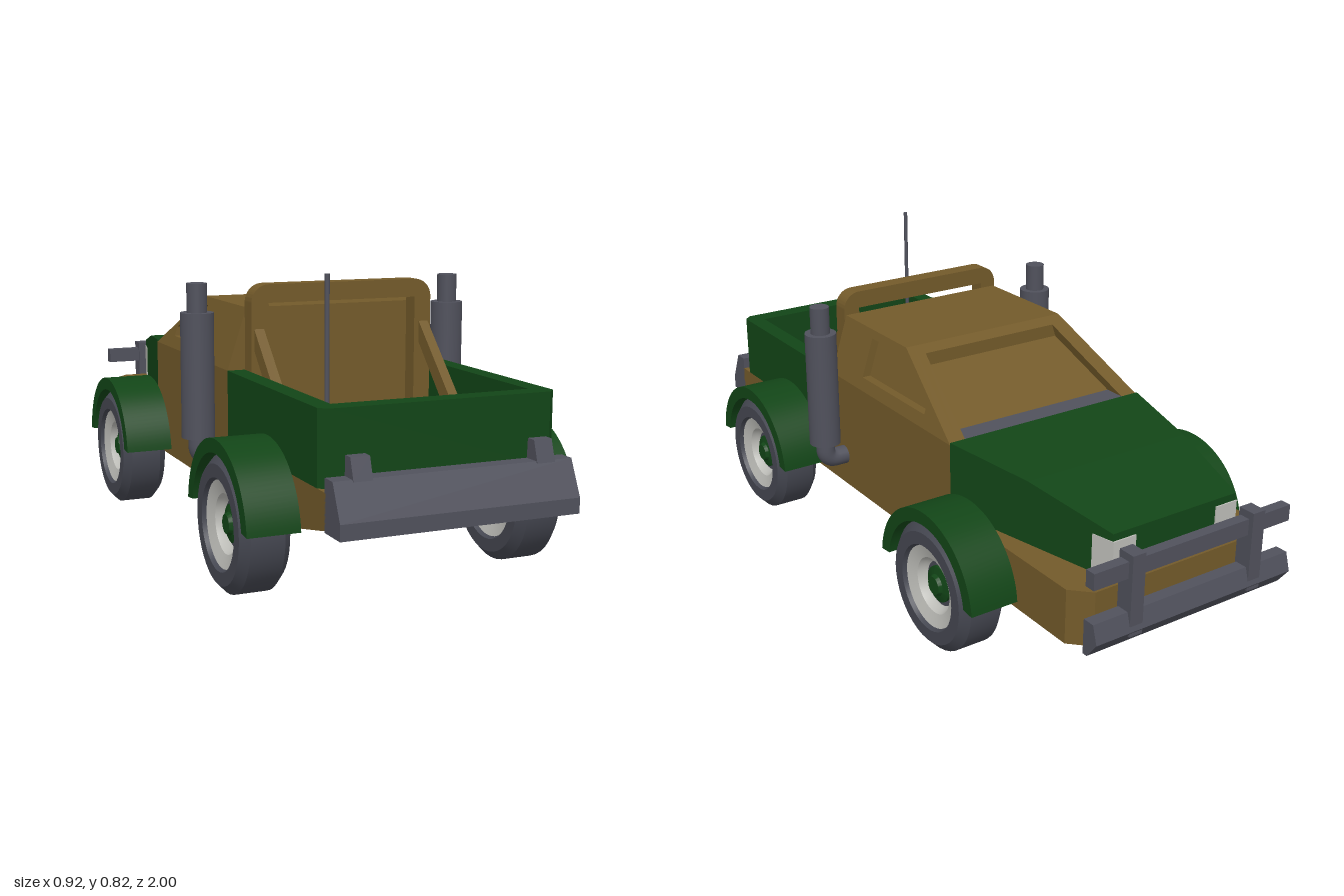
import * as THREE from 'three';
import { toCreasedNormals } from 'three/addons/utils/BufferGeometryUtils.js';

const mat = (color) => new THREE.MeshStandardMaterial({ color });
const shapeOf = (pts) => new THREE.Shape(pts.map(([a, b]) => new THREE.Vector2(a, b)));

// Side outline of [z, y] points, extruded across x
function sideExtrude(pts, x0, x1, hole) {
  const shape = shapeOf(pts);
  if (hole) shape.holes.push(shapeOf(hole));
  const g = new THREE.ExtrudeGeometry(shape, { depth: x1 - x0, bevelEnabled: false });
  return g.rotateY(-Math.PI / 2).translate(x1, 0, 0);
}

// Plan outline of [x, z] points, extruded up y
function planExtrude(pts, y0, y1) {
  const g = new THREE.ExtrudeGeometry(shapeOf(pts), { depth: y1 - y0, bevelEnabled: false });
  return g.rotateX(Math.PI / 2).translate(0, y1, 0);
}

// Box given by its limits
function box(x0, x1, y0, y1, z0, z1) {
  return new THREE.BoxGeometry(x1 - x0, y1 - y0, z1 - z0)
    .translate((x0 + x1) / 2, (y0 + y1) / 2, (z0 + z1) / 2);
}

// Replace each vertex's x by rule(x, y, z)
function moveX(g, rule) {
  const p = g.attributes.position;
  for (let i = 0; i < p.count; i++) p.setX(i, rule(p.getX(i), p.getY(i), p.getZ(i)));
  g.computeVertexNormals();
  return g;
}
const leanIn = (x, y) => x - Math.sign(x) * (y - 0.52) * 0.324;
const hoodTaper = (x, y, z) => x * (1 - (-0.375 - z) * 0.7);

// Lathe around the x axis from [radius, x] points
function axle(pts) {
  const g = new THREE.LatheGeometry(pts.map(([r, x]) => new THREE.Vector2(r, x)), 40);
  return toCreasedNormals(g.rotateZ(-Math.PI / 2), 0.5);
}

export function createModel() {
  const model = new THREE.Group();
  const tan = mat(0x735a2a), green = mat(0x124517), steel = mat(0x50515c);
  const pale = mat(0xbdbdb8), rubber = mat(0x454751);
  const add = (name, geometry, material, parent = model) => {
    const m = new THREE.Mesh(geometry, material);
    m.name = name;
    parent.add(m);
    return m;
  };

  // Chassis with chamfered nose and rising tail
  add('chassis', planExtrude([[-0.32, 0.64], [0.32, 0.64], [0.32, -0.88], [0.27, -0.93],
    [-0.27, -0.93], [-0.32, -0.88]], 0.18, 0.33), tan);
  add('chassisTail', sideExtrude([[0.64, 0.18], [0.92, 0.24], [0.92, 0.33], [0.64, 0.33]], -0.32, 0.32), tan);

  // Cab: lower block, leaning upper core with recessed windscreen, side panels
  add('cabLower', box(-0.32, 0.32, 0.33, 0.52, -0.375, 0.27), tan);
  add('cabCore', moveX(sideExtrude([[0.27, 0.52], [0.27, 0.69], [-0.07, 0.69], [-0.1, 0.673],
    [-0.1, 0.636], [-0.31, 0.522], [-0.31, 0.52]], -0.27, 0.27), leanIn), tan);
  add('windscreenSill', box(-0.27, 0.27, 0.515, 0.524, -0.374, -0.305), steel);
  const cabSide = [[0.27, 0.52], [0.27, 0.69], [-0.07, 0.69], [-0.375, 0.52]];
  const windowHole = [[0.105, 0.555], [0.105, 0.667], [-0.07, 0.667], [-0.23, 0.583], [-0.23, 0.555]];
  for (const s of [1, -1]) {
    const layer = (a, b, hole) =>
      moveX(sideExtrude(cabSide, Math.min(s * a, s * b), Math.max(s * a, s * b), hole), leanIn);
    add('cabSideOuter', layer(0.295, 0.32, windowHole), tan);
    add('cabSideInner', layer(0.27, 0.295), tan);
  }

  // Hood narrowing to the nose, with corner headlights
  add('hood', moveX(sideExtrude([[-0.375, 0.33], [-0.375, 0.527], [-0.64, 0.505], [-0.905, 0.455],
    [-0.905, 0.33]], -0.32, 0.32), hoodTaper), green);
  for (const s of [1, -1]) {
    const [a, b] = s > 0 ? [0.21, 0.323] : [-0.323, -0.21];
    add('headlight', moveX(sideExtrude([[-0.845, 0.335], [-0.845, 0.435], [-0.909, 0.435],
      [-0.909, 0.335]], a, b), hoodTaper), pale);
  }

  // Cargo bed walls
  add('bedWalls', planExtrude([[-0.32, 0.27], [-0.32, 0.87], [-0.3, 0.89], [0.3, 0.89], [0.32, 0.87],
    [0.32, 0.27], [0.27, 0.27], [0.27, 0.835], [-0.27, 0.835], [-0.27, 0.27]], 0.33, 0.52), green);

  // Roll bar with rounded shoulders and sloping struts
  const bar = new THREE.Shape();
  bar.moveTo(-0.27, 0.33);
  bar.lineTo(-0.27, 0.705);
  bar.absarc(-0.22, 0.705, 0.05, Math.PI, Math.PI / 2, true);
  bar.absarc(0.22, 0.705, 0.05, Math.PI / 2, 0, true);
  for (const [x, y] of [[0.27, 0.33], [0.22, 0.33], [0.22, 0.705], [-0.22, 0.705], [-0.22, 0.33]]) bar.lineTo(x, y);
  add('rollBar', toCreasedNormals(new THREE.ExtrudeGeometry(bar, { depth: 0.05, bevelEnabled: false })
    .translate(0, 0, 0.272), 0.5), tan);
  for (const x of [-0.262, 0.234])
    add('rollBarStrut', sideExtrude([[0.315, 0.585], [0.315, 0.643], [0.59, 0.36], [0.59, 0.33],
      [0.555, 0.33]], x, x + 0.028), tan);

  // Aerial on a small foot
  add('aerialFoot', new THREE.CylinderGeometry(0.022, 0.036, 0.03, 24).translate(-0.257, 0.345, 0.78), steel);
  add('aerial', new THREE.CylinderGeometry(0.006, 0.006, 0.48, 12).translate(-0.257, 0.58, 0.785), steel);

  // Exhaust stacks with elbows into the body
  for (const s of [1, -1]) {
    const stack = new THREE.Group();
    stack.name = 'exhaustStack';
    model.add(stack);
    const x = s * 0.385, z = 0.21;
    add('muffler', new THREE.CylinderGeometry(0.046, 0.046, 0.345, 28).translate(x, 0.503, z), steel, stack);
    add('tip', new THREE.CylinderGeometry(0.028, 0.028, 0.1, 24).translate(x, 0.705, z), steel, stack);
    const path = new THREE.CurvePath();
    const P = (px, py) => new THREE.Vector3(px, py, z);
    path.add(new THREE.LineCurve3(P(x, 0.34), P(x, 0.31)));
    path.add(new THREE.QuadraticBezierCurve3(P(x, 0.31), P(x, 0.275), P(s * 0.35, 0.275)));
    path.add(new THREE.LineCurve3(P(s * 0.35, 0.275), P(s * 0.31, 0.275)));
    add('elbow', new THREE.TubeGeometry(path, 20, 0.028, 20), steel, stack);
  }

  // Wheels and arches
  const tyre = axle([[0.113, -0.05], [0.12, -0.067], [0.155, -0.067], [0.178, -0.045], [0.178, 0.045],
    [0.155, 0.067], [0.12, 0.067], [0.113, 0.05]]);
  const rim = axle([[0.06, -0.02], [0.07, -0.03], [0.078, -0.045], [0.114, -0.056], [0.114, 0.056],
    [0.078, 0.045], [0.07, 0.03], [0.06, 0.02]]);
  const disc = axle([[0, -0.022], [0.068, -0.022], [0.068, 0.022], [0, 0.022]]);
  const hub = axle([[0, -0.045], [0.025, -0.045], [0.03, -0.035], [0.05, -0.03], [0.05, 0.03],
    [0.03, 0.035], [0.025, 0.045], [0, 0.045]]);
  const arch = new THREE.Shape();
  arch.absarc(0, 0, 0.22, 0.1, Math.PI - 0.1, false);
  arch.absarc(0, 0, 0.183, Math.PI - 0.14, 0.14, true);
  const archGeometry = toCreasedNormals(new THREE.ExtrudeGeometry(arch,
    { depth: 0.14, bevelEnabled: false, curveSegments: 24 }).rotateY(-Math.PI / 2).translate(0.07, 0, 0), 0.5);
  for (const s of [1, -1]) {
    for (const z of [0.56, -0.465]) {
      const wheel = new THREE.Group();
      wheel.name = 'wheel';
      wheel.position.set(s * 0.389, 0.178, z);
      model.add(wheel);
      add('tyre', tyre, rubber, wheel);
      add('rim', rim, pale, wheel);
      add('disc', disc, rubber, wheel);
      add('hub', hub, green, wheel);
      add('wheelArch', archGeometry, green).position.set(s * 0.39, 0.178, z);
    }
  }

  // Solid bumper at the bed end, with two lugs
  add('bedBumper', sideExtrude([[0.915, 0.235], [1, 0.235], [1, 0.275], [0.958, 0.365],
    [0.915, 0.365]], -0.32, 0.32), steel);
  for (const x of [-0.27, 0.22])
    add('bumperLug', sideExtrude([[0.915, 0.36], [0.963, 0.36], [0.945, 0.415], [0.918, 0.415]], x, x + 0.05), steel);

  // Bull bar at the hood end
  add('bullBarLower', sideExtrude([[-0.95, 0.19], [-0.95, 0.285], [-0.985, 0.285], [-1, 0.235],
    [-0.965, 0.19]], -0.32, 0.32), steel);
  add('bullBarUpper', box(-0.32, 0.32, 0.375, 0.42, -0.982, -0.952), steel);
  for (const x of [-0.215, 0.175])
    add('bullBarUpright', box(x, x + 0.04, 0.22, 0.44, -0.996, -0.946), steel);

  return model;
}
